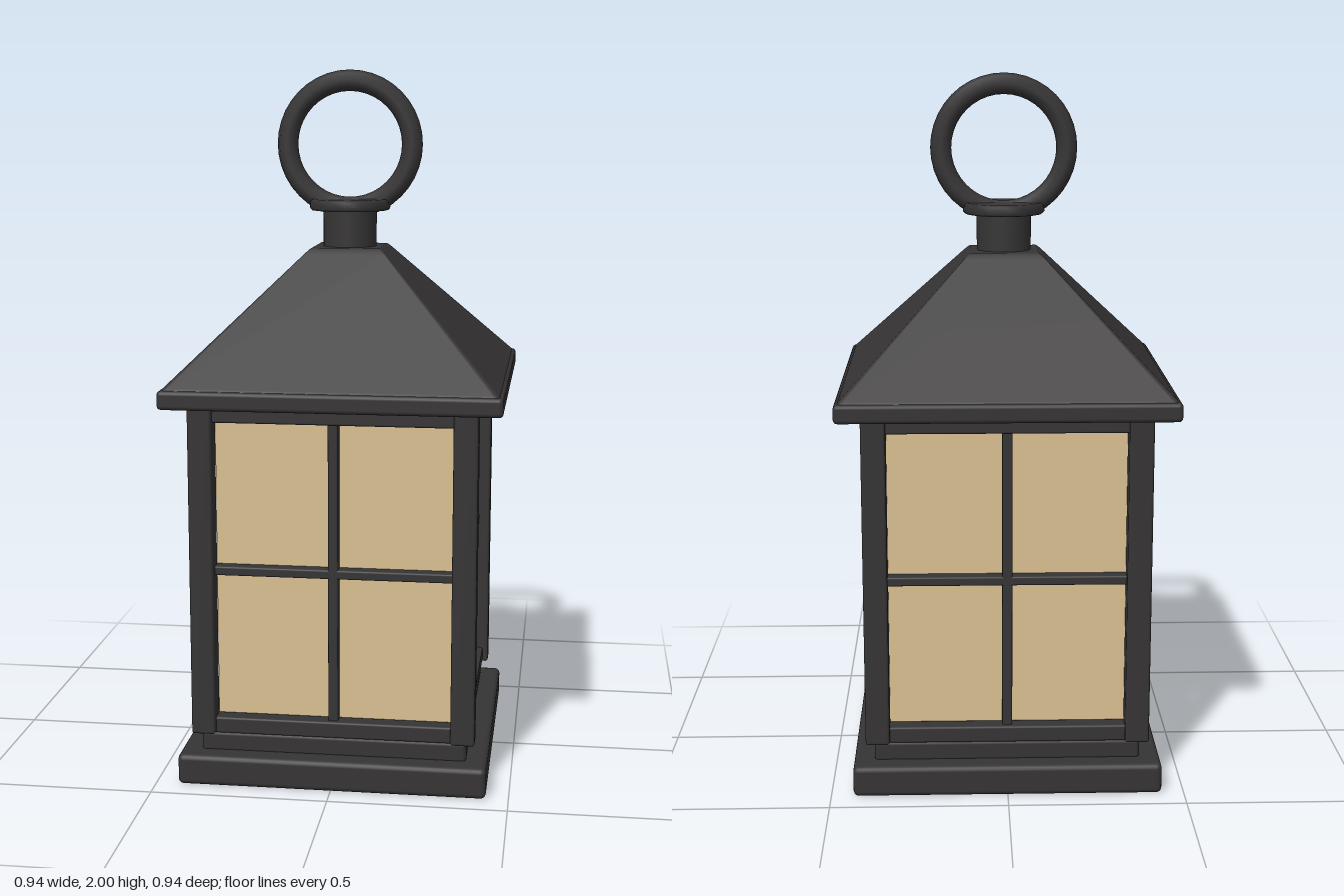
import * as THREE from 'three';
import { RoundedBoxGeometry } from 'three/addons/geometries/RoundedBoxGeometry.js';
import { mergeVertices } from 'three/addons/utils/BufferGeometryUtils.js';

const metal = new THREE.MeshStandardMaterial({ color: 0x363434 });
const amber = new THREE.MeshStandardMaterial({ color: 0xdbc193 });

function add(parent, name, geometry, x = 0, y = 0, z = 0, material = metal) {
  const mesh = new THREE.Mesh(geometry, material);
  mesh.name = name;
  mesh.position.set(x, y, z);
  parent.add(mesh);
  return mesh;
}

// Soft-edged box placed by its bottom and top heights
function block(parent, name, w, y0, y1, d, r, x = 0, z = 0) {
  return add(parent, name, new RoundedBoxGeometry(w, y1 - y0, d, 2, r), x, (y0 + y1) / 2, z);
}

// Four-sided roof: a rounded box narrowed towards the top
function roofGeometry(bottom, top, height) {
  let g = new RoundedBoxGeometry(2 * bottom, height, 2 * bottom, 2, 0.015);
  g.deleteAttribute('normal');
  g.deleteAttribute('uv');
  g = mergeVertices(g, 1e-4);
  const p = g.attributes.position;
  for (let i = 0; i < p.count; i++) {
    const s = THREE.MathUtils.lerp(1, top / bottom, p.getY(i) / height + 0.5);
    p.setX(i, p.getX(i) * s);
    p.setZ(i, p.getZ(i) * s);
  }
  g.computeVertexNormals();
  return g;
}

export function createModel() {
  const lantern = new THREE.Group();
  lantern.name = 'lantern';

  // Stepped base
  block(lantern, 'base', 0.874, 0, 0.088, 0.874, 0.015);
  block(lantern, 'baseStep', 0.756, 0.08, 0.142, 0.756, 0.012);

  // Glass body
  add(lantern, 'glass', new THREE.BoxGeometry(0.67, 0.95, 0.67), 0, 0.615, 0, amber);

  // Corner posts
  for (const x of [-1, 1]) for (const z of [-1, 1])
    block(lantern, 'cornerPost', 0.068, 0.14, 1.1, 0.068, 0.008, x * 0.368, z * 0.368);

  // Rails and window bars on each of the four sides
  for (let i = 0; i < 4; i++) {
    const side = new THREE.Group();
    side.name = 'windowFrame';
    side.rotation.y = i * Math.PI / 2;
    block(side, 'bottomRail', 0.69, 0.14, 0.187, 0.05, 0.006, 0, 0.36);
    block(side, 'topRail', 0.69, 1.04, 1.09, 0.05, 0.006, 0, 0.36);
    block(side, 'verticalBar', 0.028, 0.16, 1.07, 0.04, 0.005, 0, 0.35);
    block(side, 'horizontalBar', 0.68, 0.601, 0.627, 0.04, 0.005, 0, 0.35);
    lantern.add(side);
  }

  // Roof
  block(lantern, 'eave', 0.94, 1.087, 1.14, 0.94, 0.012);
  add(lantern, 'roof', roofGeometry(0.47, 0.1, 0.37), 0, 1.315, 0);

  // Neck and cap
  add(lantern, 'neck', new THREE.CylinderGeometry(0.078, 0.078, 0.13, 16), 0, 1.555, 0);
  const cap = [[0, 0], [0.111, 0], [0.117, 0.006], [0.117, 0.026], [0.111, 0.032], [0, 0.032]];
  add(lantern, 'cap', new THREE.LatheGeometry(cap.map(([r, y]) => new THREE.Vector2(r, y)), 16), 0, 1.603, 0);

  // Carrying ring
  add(lantern, 'ring', new THREE.TorusGeometry(0.18, 0.03, 8, 40), 0, 1.79, 0);

  return lantern;
}
